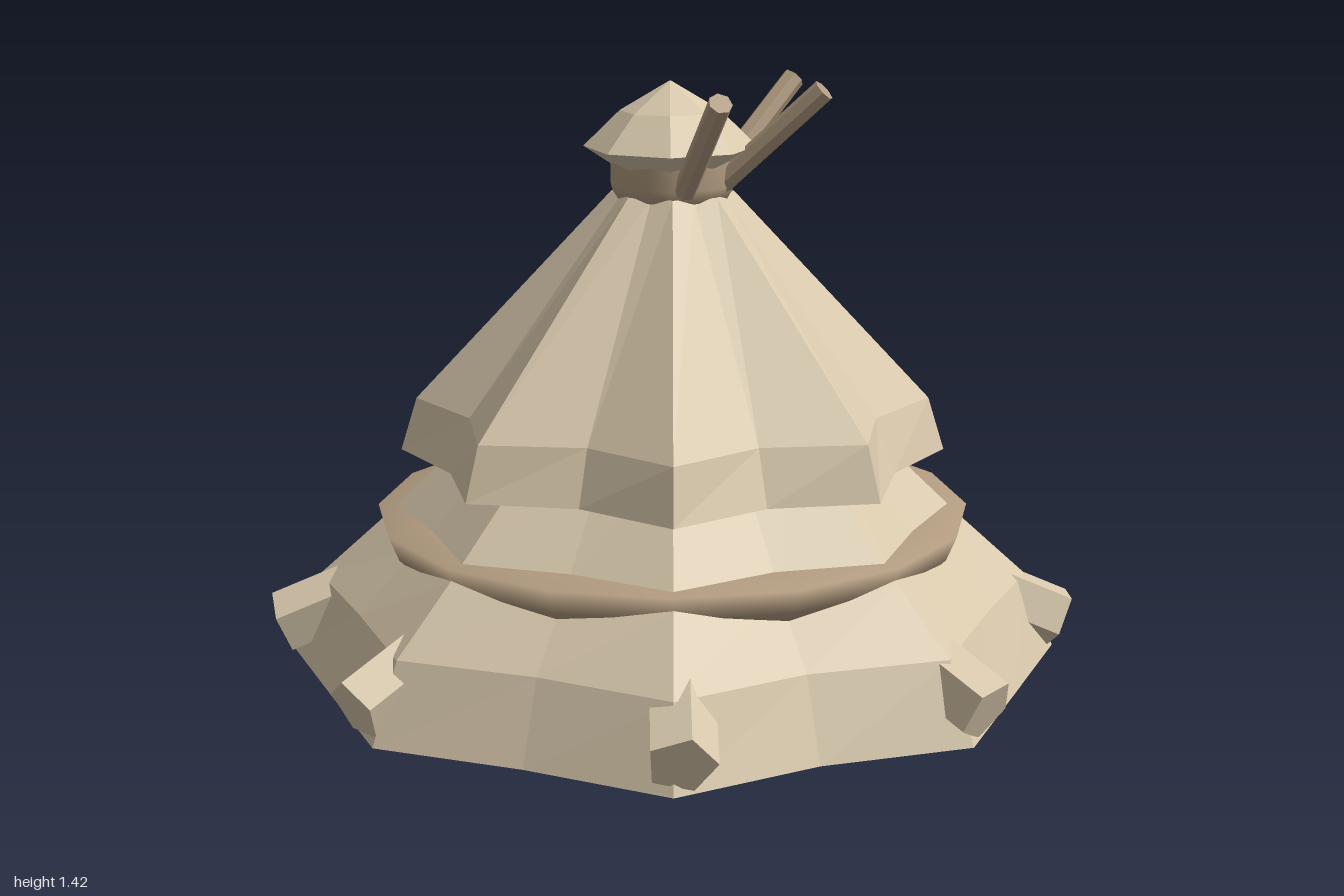
import * as THREE from 'three';

const cloth = new THREE.MeshStandardMaterial({ color: 0xd8c8ac });
cloth.name = 'cloth';
const wood = new THREE.MeshStandardMaterial({ color: 0xb29c80 });
wood.name = 'wood';

const deg = Math.PI / 180;

// Closed, flat shaded loft through rings [y, ridge radius, valley radius], low to high
function pleated(name, rings, sides, wobble = () => 0) {
  const point = ([y, ridge, valley], i) => {
    const k = i % sides;
    const a = (k / sides) * Math.PI * 2;
    const r = k % 2 ? valley * (1 + wobble(k)) : ridge;
    return [r * Math.cos(a), y, r * Math.sin(a)];
  };
  const low = rings[0], high = rings[rings.length - 1];
  const pos = [];
  for (let i = 0; i < sides; i++) {
    for (let j = 0; j < rings.length - 1; j++) {
      const a0 = point(rings[j], i), b0 = point(rings[j], i + 1);
      const a1 = point(rings[j + 1], i), b1 = point(rings[j + 1], i + 1);
      pos.push(...a0, ...a1, ...b0, ...a1, ...b1, ...b0);
    }
    pos.push(0, low[0], 0, ...point(low, i), ...point(low, i + 1));
    pos.push(0, high[0], 0, ...point(high, i + 1), ...point(high, i));
  }
  const geo = new THREE.BufferGeometry();
  geo.setAttribute('position', new THREE.Float32BufferAttribute(pos, 3));
  geo.computeVertexNormals();
  const mesh = new THREE.Mesh(geo, cloth);
  mesh.name = name;
  return mesh;
}

// Smooth turned band
function band(name, points) {
  const profile = points.map(([r, y]) => new THREE.Vector2(r, y));
  const mesh = new THREE.Mesh(new THREE.LatheGeometry(profile, 16), wood);
  mesh.name = name;
  return mesh;
}

// Straight rod between two points
function rod(name, from, to, radius, sides, material, spin = 0) {
  const a = new THREE.Vector3(...from), b = new THREE.Vector3(...to);
  const dir = b.clone().sub(a);
  const geo = new THREE.CylinderGeometry(radius, radius, dir.length(), sides).rotateY(spin).toNonIndexed();
  geo.computeVertexNormals();
  const mesh = new THREE.Mesh(geo, material);
  mesh.position.copy(a).add(b).multiplyScalar(0.5);
  mesh.quaternion.setFromUnitVectors(new THREE.Vector3(0, 1, 0), dir.normalize());
  mesh.name = name;
  return mesh;
}

export function createModel() {
  const tent = new THREE.Group();
  tent.name = 'tent';

  // Two pleated cloth tiers, slightly uneven in the valleys
  tent.add(pleated('lowerTier', [
    [0.012, 0.95, 0.86],
    [0.2, 0.875, 0.785],
    [0.345, 0.715, 0.635],
    [0.65, 0.4, 0.36],
  ], 16, (k) => 0.025 * Math.sin(k * 2.1 + 1)));
  tent.add(pleated('upperTier', [
    [0.52, 0.665, 0.58],
    [0.65, 0.625, 0.53],
    [1.16, 0.148, 0.135],
  ], 16, (k) => 0.05 * Math.cos((k - 14) * Math.PI / 8)));

  // Band round the lower tier and collar under the cap
  tent.add(band('hoop', [[0.56, 0.25], [0.66, 0.28], [0.7, 0.32], [0.725, 0.38], [0.54, 0.382]]));
  tent.add(band('collar', [[0.11, 1.135], [0.14, 1.15], [0.148, 1.18], [0.148, 1.25]]));

  // Octagonal cap
  const cap = pleated('cap', [
    [1.22, 0.13, 0.13],
    [1.27, 0.207, 0.207],
    [1.355, 0.12, 0.12],
    [1.425, 0.002, 0.002],
  ], 8);
  cap.position.x = -0.008;
  tent.add(cap);

  // Poles sticking out near the top
  const poles = [
    [[0.1, 1.17, 0.035], [0.345, 1.41, 0.075]],
    [[0.045, 1.18, 0.11], [0.168, 1.415, 0.33]],
    [[-0.07, 1.18, 0.11], [-0.18, 1.415, 0.33]],
  ];
  for (const [from, to] of poles) tent.add(rod('pole', from, to, 0.028, 7, wood));

  // Stubby five-sided pegs leaning down and out at each ridge
  [2.5, 46, 88, 134, 183, 222, 268, 319].forEach((angle, i) => {
    const at = (r, y) => [r * Math.cos(angle * deg), y, r * Math.sin(angle * deg)];
    tent.add(rod('peg', at(0.78, 0.165), at(0.96, 0.09), 0.08, 5, cloth, i * 0.7));
  });

  return tent;
}
